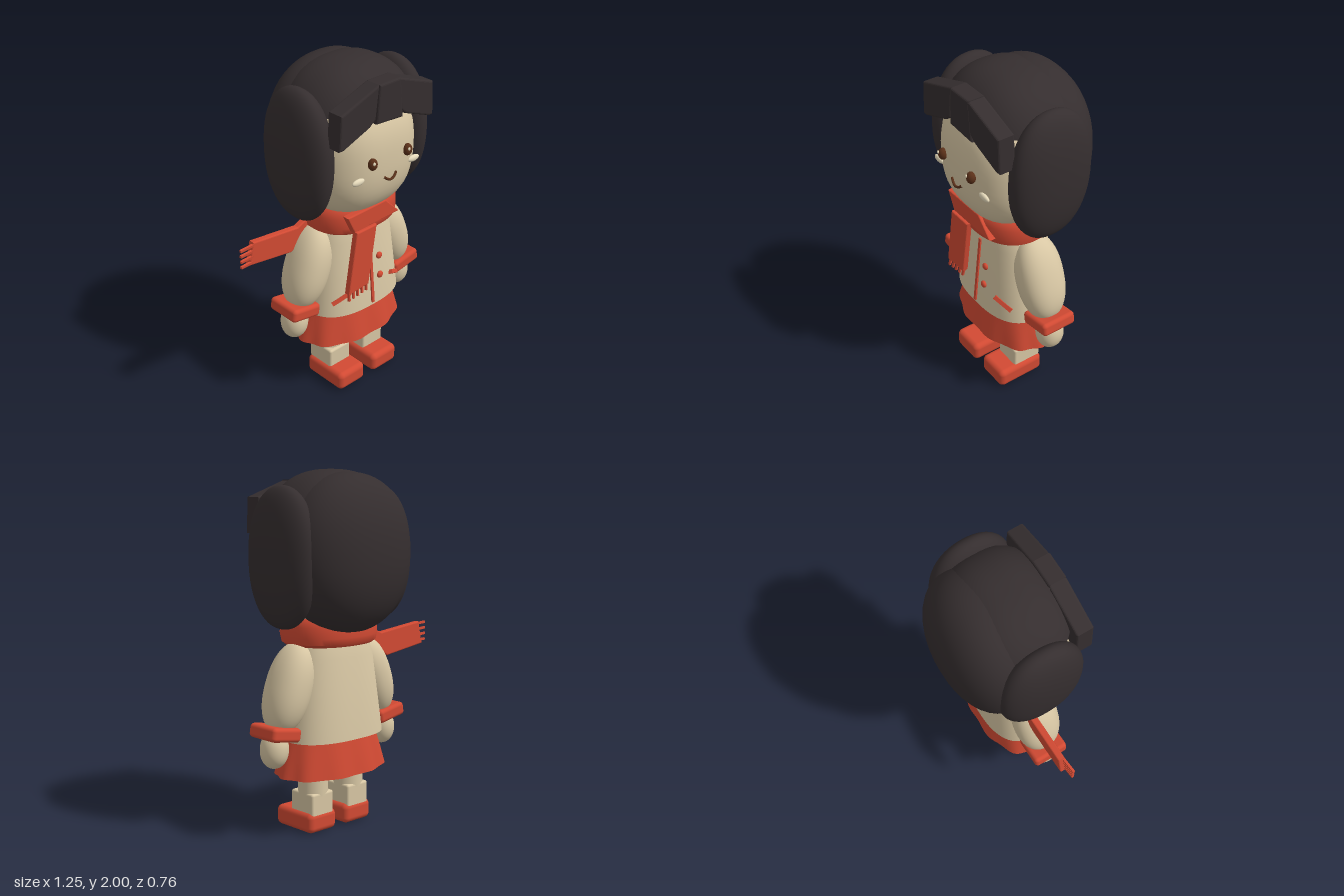
import * as THREE from 'three';
import { mergeVertices, toCreasedNormals } from 'three/addons/utils/BufferGeometryUtils.js';
import { RoundedBoxGeometry } from 'three/addons/geometries/RoundedBoxGeometry.js';

const mat = (name, color, side = THREE.FrontSide) => {
  const m = new THREE.MeshStandardMaterial({ color, side });
  m.name = name;
  return m;
};
const V = (x, y, z) => new THREE.Vector3(x, y, z);

function weld(geo) {
  geo.deleteAttribute('uv');
  geo.deleteAttribute('normal');
  const g = mergeVertices(geo, 1e-5);
  g.computeVertexNormals();
  return g;
}

// Rounded blob: p = 2 is an ellipsoid, higher p is boxier; cut is the fraction kept from the top
function blob(rx, ry, rz, p = 2, cut = 1, seg = 40) {
  const geo = new THREE.SphereGeometry(1, seg, Math.round(seg * 0.7), 0, Math.PI * 2, 0, Math.PI * cut);
  const pos = geo.attributes.position;
  for (let i = 0; i < pos.count; i++) {
    const v = V().fromBufferAttribute(pos, i);
    const n = (Math.abs(v.x) ** p + Math.abs(v.y) ** p + Math.abs(v.z) ** p) ** (1 / p);
    pos.setXYZ(i, v.x / n * rx, v.y / n * ry, v.z / n * rz);
  }
  return weld(geo);
}

// Turned garment squashed in depth, squarish in plan, with optional hem waves
function garment(profile, depth, p, wave = () => 0) {
  const geo = new THREE.LatheGeometry(profile.map(([r, y]) => new THREE.Vector2(r, y)), 80);
  const pos = geo.attributes.position;
  for (let i = 0; i < pos.count; i++) {
    const x = pos.getX(i), y = pos.getY(i), z = pos.getZ(i), r = Math.hypot(x, z);
    if (r < 1e-6) continue;
    const n = (Math.abs(x / r) ** p + Math.abs(z / r) ** p) ** (1 / p);
    const f = (1 + wave(Math.atan2(z, x), y)) / n;
    pos.setXYZ(i, x * f, y, z * f * depth);
  }
  return toCreasedNormals(weld(geo), 0.7);
}

// Flat bevelled plate from an outline, filling z0..z1
function plate(points, z0, z1, bevel = 0.008) {
  const shape = new THREE.Shape(points.map(([x, y]) => new THREE.Vector2(x, y)));
  const geo = new THREE.ExtrudeGeometry(shape, {
    depth: z1 - z0 - 2 * bevel, bevelThickness: bevel, bevelSize: bevel, bevelOffset: -bevel, bevelSegments: 3,
  });
  return geo.translate(0, 0, z0 + bevel);
}

export function createModel() {
  const cream = mat('cream', 0xd8c7a4);
  const red = mat('scarf red', 0xd24a33);
  const hair = mat('dark hair', 0x352e2f, THREE.DoubleSide);
  const brown = mat('eye brown', 0x5a3019);
  const pale = mat('pale cream', 0xe6dabb);

  const root = new THREE.Group();
  root.name = 'doll';
  const body = new THREE.Group();
  body.name = 'figure';
  body.position.x = 0.118;
  root.add(body);

  const add = (name, geo, material, x = 0, y = 0, z = 0, rz = 0) => {
    const m = new THREE.Mesh(geo, material);
    m.name = name;
    m.position.set(x, y, z);
    m.rotation.z = rz;
    body.add(m);
    return m;
  };
  // Straight bar between two points
  const bar = (name, a, b, w, d, material) => {
    const dir = b.clone().sub(a);
    const mid = a.clone().add(b).multiplyScalar(0.5);
    const m = add(name, new THREE.BoxGeometry(w, dir.length(), d), material, mid.x, mid.y, mid.z);
    m.quaternion.setFromUnitVectors(V(0, 1, 0), dir.normalize());
  };

  // Head and hair
  add('head', blob(0.34, 0.37, 0.33, 2.6), cream, 0, 1.5, 0.025);
  add('hairCap', blob(0.39, 0.45, 0.33, 2.4, 0.34), hair, 0, 1.55, 0.02);
  add('hairBack', blob(0.39, 0.435, 0.27, 2.2), hair, 0, 1.55, -0.108);
  add('middleFringe', plate([[-0.07, 1.943], [0.085, 1.943], [0.108, 1.715], [-0.085, 1.728]], 0.233, 0.336, 0.012), hair);
  for (const s of [-1, 1]) {
    add('sideFringe', plate([[s * 0.07, 1.943], [s * 0.335, 1.85], [s * 0.345, 1.655], [s * 0.315, 1.655],
      [s * 0.13, 1.725], [s * 0.09, 1.76]], 0.233, 0.333, 0.012), hair);
    add('sideHair', blob(0.108, 0.38, 0.245, 2.2), hair, s * 0.35, 1.535, 0.022);
  }

  // Face
  for (const s of [-1, 1]) {
    add('eye', blob(0.027, 0.034, 0.025, 2, 1, 20), brown, s * 0.13, 1.525, 0.354);
    add('eyeGlint', blob(0.008, 0.01, 0.006, 2, 1, 10), pale, s * 0.13 - 0.01, 1.538, 0.376);
    add('cheek', blob(0.043, 0.019, 0.014, 2, 1, 20), pale, s * 0.207, 1.437, 0.328);
  }
  const smile = new THREE.CatmullRomCurve3([V(-0.047, 1.424, 0.355), V(-0.025, 1.406, 0.362),
    V(0, 1.398, 0.365), V(0.025, 1.406, 0.362), V(0.047, 1.424, 0.355)]);
  add('mouth', new THREE.TubeGeometry(smile, 20, 0.007, 8), brown);

  // Scarf: neck wrap, front fold, hanging tail and blown tail
  add('scarfWrap', garment([[0, 1.05], [0.255, 1.05], [0.275, 1.065], [0.282, 1.1], [0.28, 1.16],
    [0.268, 1.2], [0.24, 1.222], [0, 1.222]], 0.81, 2.3), red, 0, 0, 0.04);
  add('scarfFold', plate([[-0.225, 1.2], [0.065, 1.207], [0.172, 1.1], [-0.17, 1.087]], 0.228, 0.272), red);
  add('scarfTail', plate([[-0.17, 1.095], [-0.018, 1.095], [-0.072, 0.725], [-0.226, 0.715]], 0.252, 0.29), red);
  for (let i = 0; i < 5; i++) {
    const x = -0.21 + i * 0.033;
    bar('tailFringe', V(x, 0.74, 0.272), V(x - 0.008, 0.67 + i * 0.004, 0.282), 0.013, 0.013, red);
  }
  add('blownTail', plate([[-0.25, 1.115], [-0.34, 1.075], [-0.655, 1.108], [-0.685, 0.975],
    [-0.39, 0.935], [-0.25, 1.0]], -0.04, 0.0), red);
  for (let i = 0; i < 4; i++) {
    const y = 1.093 - i * 0.034;
    bar('blownFringe', V(-0.65, y - 0.003, -0.008), V(-0.747, y, 0.001), 0.014, 0.014, red);
  }

  // Coat with its trims
  add('coat', garment([[0, 0.53], [0.32, 0.53], [0.26, 0.98], [0.235, 1.05], [0.12, 1.1], [0, 1.1]],
    0.68, 2.6), cream, 0, 0, 0.035);
  bar('placket', V(0, 0.55, 0.252), V(0, 0.977, 0.211), 0.018, 0.018, red);
  for (const y of [0.828, 0.704]) {
    add('button', blob(0.021, 0.021, 0.014, 2, 1, 18), red, 0.066, y, 0.311 - y * 0.1);
  }

  // Skirt with a gently waved hem
  const hem = (a, y) => 0.025 * Math.cos(10 * a) * (0.56 - y) / 0.23;
  add('skirt', garment([[0, 0.335], [0.33, 0.328], [0.352, 0.328], [0.325, 0.43], [0.29, 0.545], [0, 0.55]],
    0.63, 2.2, hem), red, 0, 0, 0.032);

  // Limbs and pockets on both sides
  for (const s of [-1, 1]) {
    bar('pocket', V(s * 0.16, 0.675, 0.232), V(s * 0.255, 0.615, 0.184), 0.024, 0.024, red);
    add('arm', blob(0.117, 0.255, 0.135, 2.25), cream, s * 0.305, 0.83, 0.033, s * 0.36);
    add('cuff', new RoundedBoxGeometry(0.2, 0.078, 0.215, 4, 0.022), red, s * 0.402, 0.597, 0.034, s * 0.17);
    add('hand', blob(0.076, 0.105, 0.08, 2.1), cream, s * 0.41, 0.505, 0.034, s * 0.08);
    add('upperLeg', new THREE.CylinderGeometry(0.085, 0.085, 0.2, 32), cream, s * 0.135, 0.305, 0.03);
    add('lowerLeg', new RoundedBoxGeometry(0.16, 0.14, 0.18, 3, 0.014), cream, s * 0.135, 0.155, 0.037);
    add('shoe', new RoundedBoxGeometry(0.203, 0.115, 0.297, 5, 0.032), red, s * 0.134, 0.0575, 0.09);
  }
  return root;
}
